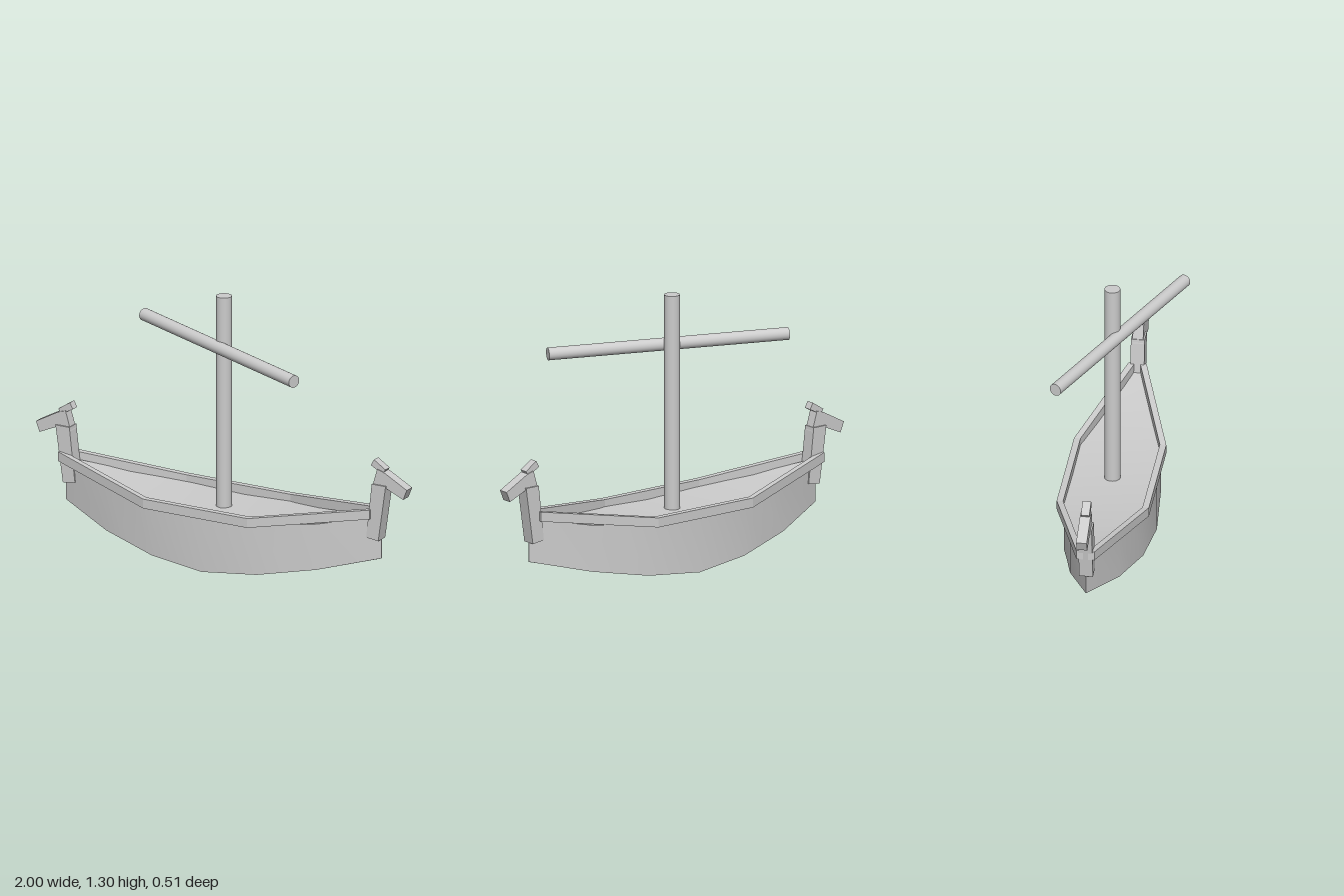
import * as THREE from 'three';
import { toCreasedNormals } from 'three/addons/utils/BufferGeometryUtils.js';

const CENTRE_Z = -0.0375;

// Skin a row of cross-sections (running towards +x, corners anticlockwise seen from +x) and cap both ends.
function loft(sections, crease) {
  const n = sections[0].length, last = (sections.length - 1) * n, index = [];
  for (let i = 0; i < sections.length - 1; i++) {
    for (let j = 0; j < n; j++) {
      const a = i * n + j, b = i * n + (j + 1) % n;
      index.push(a, b, b + n, a, b + n, a + n);
    }
  }
  for (let j = 1; j < n - 1; j++) index.push(0, j + 1, j, last, last + j, last + j + 1);
  const geo = new THREE.BufferGeometry();
  geo.setAttribute('position', new THREE.Float32BufferAttribute(sections.flat(2), 3));
  geo.setIndex(index);
  return toCreasedNormals(geo, crease);
}

// Plate cut from a side outline and centred on z = 0
function plate(points, width) {
  const shape = new THREE.Shape(points.map(([x, y]) => new THREE.Vector2(x, y)));
  return new THREE.ExtrudeGeometry(shape, { depth: width, bevelEnabled: false }).translate(0, 0, -width / 2);
}

export function createModel() {
  const ship = new THREE.Group();
  ship.name = 'longship';
  const grey = new THREE.MeshStandardMaterial({ color: 0xcccccc });

  const add = (parent, name, geometry) => {
    const mesh = new THREE.Mesh(geometry, grey);
    mesh.name = name;
    parent.add(mesh);
    return mesh;
  };

  // Round spar between two points
  const spar = (name, from, to, radius) => {
    const axis = to.clone().sub(from);
    const mesh = add(ship, name, new THREE.CylinderGeometry(radius, radius, axis.length(), 32));
    mesh.position.copy(from).add(to).multiplyScalar(0.5);
    mesh.quaternion.setFromUnitVectors(new THREE.Vector3(0, 1, 0), axis.normalize());
  };

  // Hull with deck: x, half width, keel height, lower edge height, deck height
  const half = [
    [0, 0.21, 0, 0, 0.265],
    [0.283, 0.187, 0.02, 0.027, 0.275],
    [0.42, 0.152, 0.03, 0.052, 0.289],
    [0.567, 0.117, 0.071, 0.08, 0.305],
    [0.85, 0.001, 0.15, 0.151, 0.36],
  ];
  const stations = [...half.slice(1).reverse().map(([x, ...rest]) => [-x, ...rest]), ...half];
  add(ship, 'hull', loft(stations.map(([x, w, keel, edge, deck]) => [
    [x, deck, CENTRE_Z - w],
    [x, deck, CENTRE_Z + w],
    [x, edge, CENTRE_Z + w],
    [x, keel, CENTRE_Z],
    [x, edge, CENTRE_Z - w],
  ]), 0.6));

  // Rails, one per side: x, outer half width, inner half width, bottom height
  const railPath = [
    [-0.87, 0.0425, 0.012, 0.348],
    [-0.31, 0.2175, 0.187, 0.262],
    [0.25, 0.2175, 0.187, 0.262],
    [0.81, 0.0425, 0.012, 0.348],
  ];
  for (const side of [1, -1]) {
    const sections = railPath.map(([x, outer, inner, y]) => {
      const ring = [
        [x, y + 0.046, CENTRE_Z + side * inner],
        [x, y + 0.046, CENTRE_Z + side * outer],
        [x, y, CENTRE_Z + side * outer],
        [x, y, CENTRE_Z + side * inner],
      ];
      return side > 0 ? ring : ring.reverse();
    });
    add(ship, side > 0 ? 'frontRail' : 'backRail', loft(sections, 0.1));
  }

  // Carved animal-head post at each end, turned to face outwards
  const neck = [[0.785, 0.252], [0.85, 0.244], [0.89, 0.52], [0.815, 0.52]];
  const head = [[0.812, 0.5], [0.885, 0.51], [0.98, 0.468], [1, 0.518], [0.88, 0.583], [0.84, 0.595]];
  const ears = [[0.865, 0.575], [0.882, 0.598], [0.82, 0.638], [0.803, 0.608]];
  for (const end of [1, -1]) {
    const post = new THREE.Group();
    post.name = end > 0 ? 'leftEndPost' : 'rightEndPost';
    post.position.z = CENTRE_Z;
    post.rotation.y = end > 0 ? 0 : Math.PI;
    add(post, 'neck', plate(neck, 0.065));
    add(post, 'head', plate(head, 0.05));
    add(post, 'ears', plate(ears, 0.04));
    ship.add(post);
  }

  // Mast and slanted yard
  spar('mast', new THREE.Vector3(0, 0.255, CENTRE_Z), new THREE.Vector3(0, 1.3, CENTRE_Z), 0.037);
  spar('yard', new THREE.Vector3(-0.54, 1.06, -0.228), new THREE.Vector3(0.53, 1.045, 0.226), 0.03);

  return ship;
}
